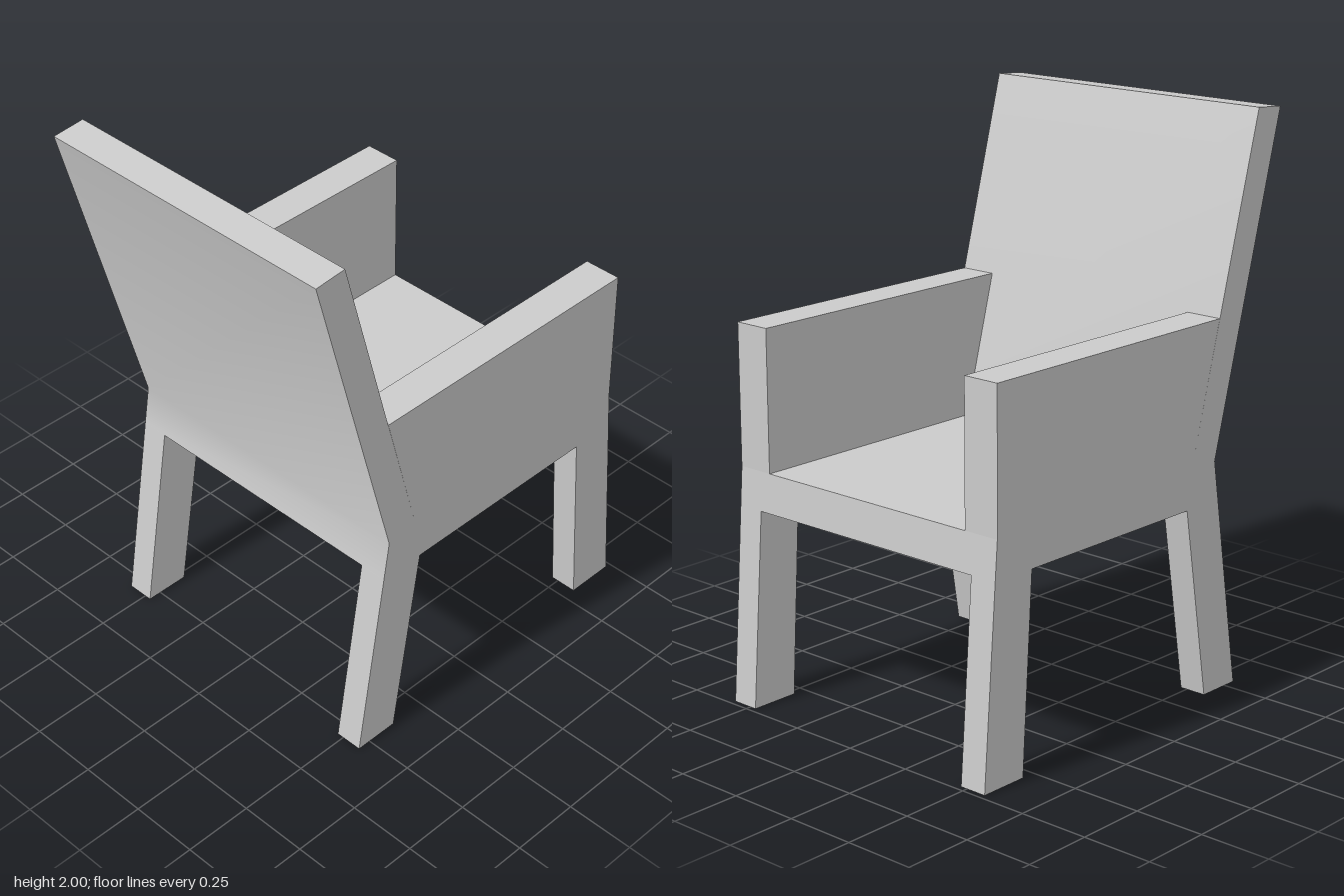
import * as THREE from 'three';
import { toCreasedNormals } from 'three/addons/utils/BufferGeometryUtils.js';

const material = new THREE.MeshStandardMaterial({ color: 0xcccccc });
const HALF = 0.575; // half the chair's width

// Solid with a side profile of [z, y] points, spanning x0 to x1
function slab(name, profile, x0, x1) {
  const shape = new THREE.Shape(profile.map(([z, y]) => new THREE.Vector2(z, y)));
  const geometry = new THREE.ExtrudeGeometry(shape, { depth: x1 - x0, bevelEnabled: false });
  geometry.rotateY(-Math.PI / 2);
  geometry.translate(x1, 0, 0);
  const mesh = new THREE.Mesh(toCreasedNormals(geometry, 0.5), material);
  mesh.name = name;
  return mesh;
}

export function createModel() {
  const chair = new THREE.Group();
  chair.name = 'armchair';

  // Reclined backrest, bending into the rear rail below the seat
  const back = [[0.27, 0.69], [0.438, 0.69], [0.415, 0.83], [0.73, 1.99], [0.612, 2], [0.29, 0.825]];
  chair.add(slab('backrest', back, -HALF, HALF));

  // Thick seat
  const seat = [[-0.68, 0.69], [0.27, 0.69], [0.29, 0.825], [-0.67, 0.825]];
  chair.add(slab('seat', seat, -HALF, HALF));

  // Arms and splayed legs, mirrored left and right
  const arm = [[-0.67, 0.825], [0.29, 0.825], [0.425, 1.32], [-0.67, 1.32]];
  const rearLeg = [[0.385, 0], [0.55, 0], [0.438, 0.69], [0.27, 0.69]];
  const frontLeg = [[-0.73, 0], [-0.55, 0], [-0.51, 0.69], [-0.68, 0.69]];
  for (const [side, s] of [['left', 1], ['right', -1]]) {
    const add = (part, profile, width) => {
      const x0 = s > 0 ? HALF - width : -HALF;
      chair.add(slab(side + part, profile, x0, x0 + width));
    };
    add('Arm', arm, 0.135);
    add('RearLeg', rearLeg, 0.1);
    add('FrontLeg', frontLeg, 0.1);
  }
  return chair;
}
